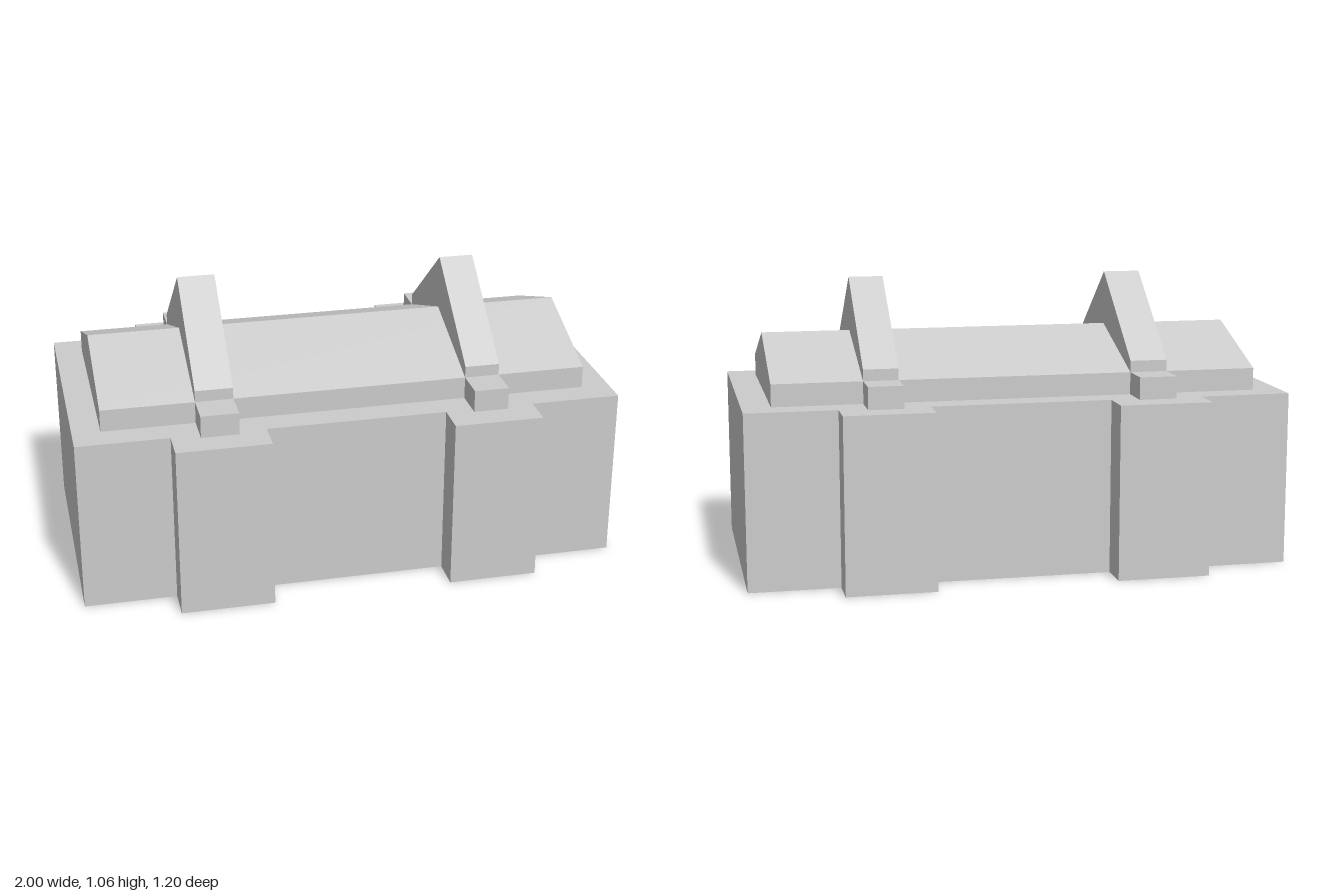
import * as THREE from 'three';

const material = new THREE.MeshStandardMaterial({ color: 0xcccccc, flatShading: true });

function addMesh(parent, name, geometry) {
  const mesh = new THREE.Mesh(geometry, material);
  mesh.name = name;
  parent.add(mesh);
}

// Outline in (z, y), swept along x from x0 to x1
function sweepX(points, x0, x1) {
  const shape = new THREE.Shape(points.map(([z, y]) => new THREE.Vector2(-z, y)));
  const geometry = new THREE.ExtrudeGeometry(shape, { depth: x1 - x0, bevelEnabled: false });
  return geometry.rotateY(Math.PI / 2).translate(x0, 0, 0);
}

export function createModel() {
  const model = new THREE.Group();
  model.name = 'building';
  const wallTop = 0.643, eave = 0.725, ridge = 0.86;
  const wallZ = 0.478, bayZ = 0.6, roofZ = 0.375;
  const bays = [[-0.663, -0.321], [0.34, 0.668]];
  const dormers = [[-0.559, -0.421], [0.439, 0.567]];

  // Walls with projecting bays, one continuous floor plan
  const half = [[-1, wallZ]];
  for (const [a, b] of bays) half.push([a, wallZ], [a, bayZ], [b, bayZ], [b, wallZ]);
  half.push([1, wallZ]);
  const back = half.map(([x, z]) => [x, -z]).reverse();
  const plan = new THREE.Shape([...half, ...back].map(([x, z]) => new THREE.Vector2(x, z)));
  const walls = new THREE.ExtrudeGeometry(plan, { depth: wallTop, bevelEnabled: false });
  addMesh(model, 'walls', walls.rotateX(-Math.PI / 2));

  // Main gabled roof on a low parapet
  addMesh(model, 'roof', sweepX(
    [[-roofZ, wallTop], [roofZ, wallTop], [roofZ, eave], [0, ridge], [-roofZ, eave]], -0.898, 0.895));

  // Tall cross ribs over the roof, with a small block at each foot
  for (const [a, b] of dormers) {
    addMesh(model, 'roofRib', sweepX(
      [[-roofZ, eave], [0, ridge], [roofZ, eave], [roofZ, 0.767], [0, 1.06], [-roofZ, 0.767]], a, b));
    for (const side of [-1, 1]) {
      const block = new THREE.BoxGeometry(b - a, eave - wallTop, 0.5 - roofZ);
      block.translate((a + b) / 2, (wallTop + eave) / 2, side * (0.5 + roofZ) / 2);
      addMesh(model, 'ribFoot', block);
    }
  }
  return model;
}
